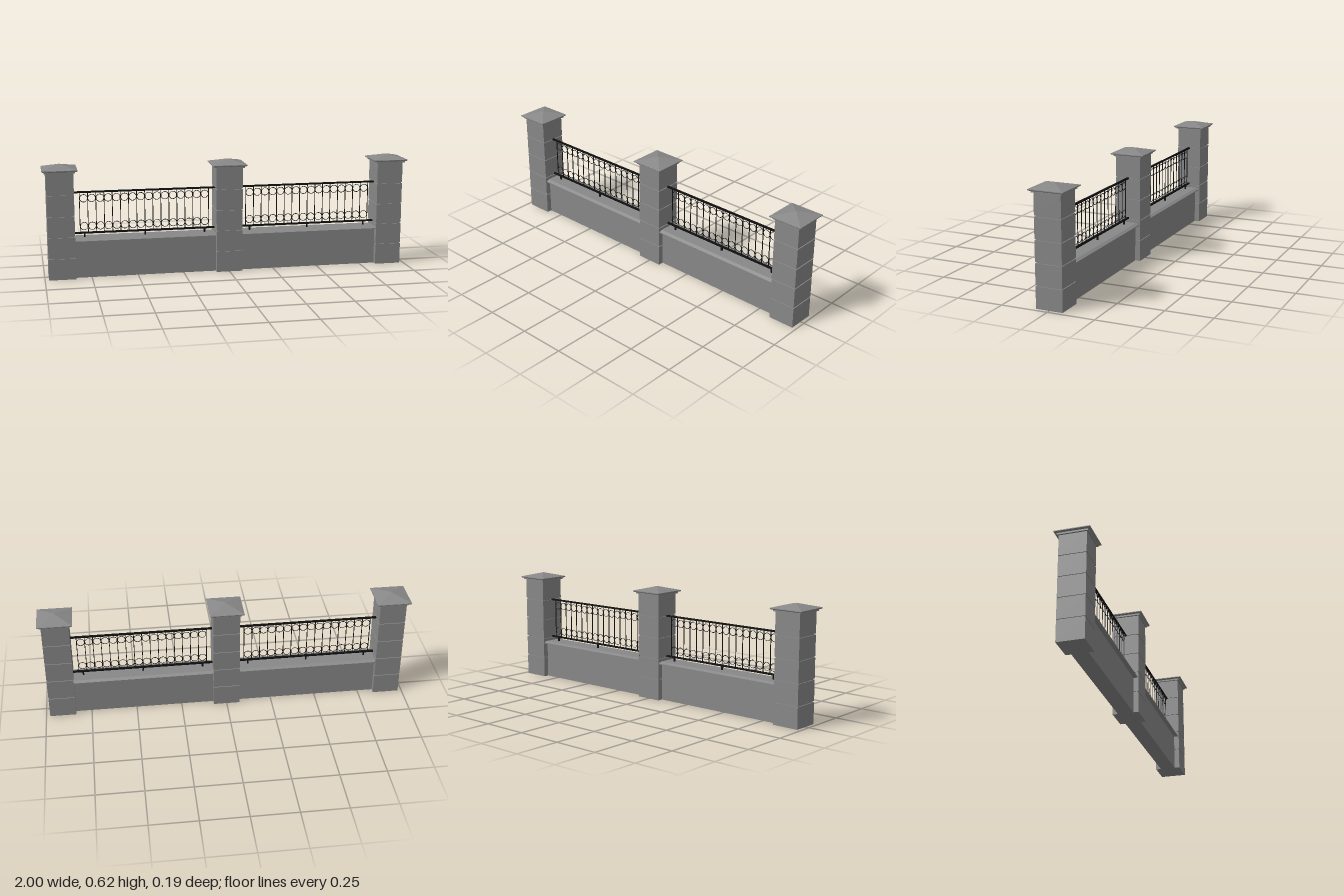
import * as THREE from 'three';

const stone = new THREE.MeshStandardMaterial({ color: 0x888888, flatShading: true });
const metal = new THREE.MeshStandardMaterial({ color: 0x111111 });

function add(parent, name, geometry, material, x = 0, y = 0, z = 0) {
  const mesh = new THREE.Mesh(geometry, material);
  mesh.name = name;
  mesh.position.set(x, y, z);
  parent.add(mesh);
}

// Square block between two heights, tapering from one half width to another
function block(parent, name, y0, y1, half0, half1 = half0) {
  const geometry = new THREE.CylinderGeometry(half1 * Math.SQRT2, half0 * Math.SQRT2, y1 - y0, 4);
  geometry.rotateY(Math.PI / 4);
  add(parent, name, geometry, stone, 0, (y0 + y1) / 2);
}

function createPillar(x) {
  const pillar = new THREE.Group();
  pillar.name = 'pillar';
  pillar.position.x = x;

  // Five blocks around a slimmer core that shows as grooves
  block(pillar, 'pillarCore', 0.01, 0.57, 0.067);
  const joints = [0, 0.1165, 0.2315, 0.3445, 0.4595, 0.575];
  for (let i = 0; i < 5; i++) {
    block(pillar, 'pillarBlock', joints[i] + (i ? 0.003 : 0), joints[i + 1] - (i < 4 ? 0.003 : 0), 0.072);
  }

  // Stepped cap: neck, flared slab and pyramid top
  block(pillar, 'capNeck', 0.575, 0.584, 0.081);
  block(pillar, 'capFlare', 0.584, 0.588, 0.088, 0.093);
  block(pillar, 'capSlab', 0.588, 0.592, 0.093);
  block(pillar, 'capRoof', 0.592, 0.616, 0.093, 0);
  return pillar;
}

function createWall(length) {
  const wall = new THREE.Group();
  wall.name = 'wall';
  add(wall, 'wallBody', new THREE.BoxGeometry(length, 0.2, 0.086), stone, 0, 0.1);

  // Overhanging coping with bevelled upper edges, extruded along the wall
  const profile = new THREE.Shape([
    [-0.067, 0.2], [0.067, 0.2], [0.067, 0.205], [0.05, 0.213], [-0.05, 0.213], [-0.067, 0.205],
  ].map(([z, y]) => new THREE.Vector2(z, y)));
  const coping = new THREE.ExtrudeGeometry(profile, { depth: length, bevelEnabled: false });
  coping.translate(0, 0, -length / 2);
  coping.rotateY(Math.PI / 2);
  add(wall, 'coping', coping, stone);
  return wall;
}

function createRailing(length) {
  const railing = new THREE.Group();
  railing.name = 'railing';
  const count = 16, span = 0.7, pitch = span / count;
  const railY = [0.237, 0.459];

  for (const y of railY) {
    add(railing, 'rail', new THREE.BoxGeometry(length, 0.009, 0.01), metal, 0, y);
  }
  // Feet between the coping and the lower rail
  const foot = new THREE.BoxGeometry(0.008, 0.026, 0.008);
  for (const x of [-0.327, 0, 0.327]) add(railing, 'foot', foot, metal, x, 0.224);

  // Upright bars
  const bar = new THREE.BoxGeometry(0.0035, railY[1] - railY[0], 0.0035);
  for (let i = 0; i <= count; i++) {
    add(railing, 'bar', bar, metal, -span / 2 + i * pitch, (railY[0] + railY[1]) / 2);
  }
  // Two rows of rings between the bars
  const ring = new THREE.TorusGeometry(0.0205, 0.0017, 6, 24);
  for (let i = 0; i < count; i++) {
    for (const y of [0.273, 0.425]) add(railing, 'ring', ring, metal, -span / 2 + (i + 0.5) * pitch, y);
  }
  return railing;
}

export function createModel() {
  const model = new THREE.Group();
  model.name = 'fence';
  for (const x of [-0.907, 0, 0.907]) model.add(createPillar(x));

  // Two matching bays, their ends set slightly into the pillars
  for (const side of [-1, 1]) {
    const bay = new THREE.Group();
    bay.name = side < 0 ? 'rightBay' : 'leftBay';
    bay.position.x = side * 0.4535;
    bay.add(createWall(0.78), createRailing(0.78));
    model.add(bay);
  }
  return model;
}
